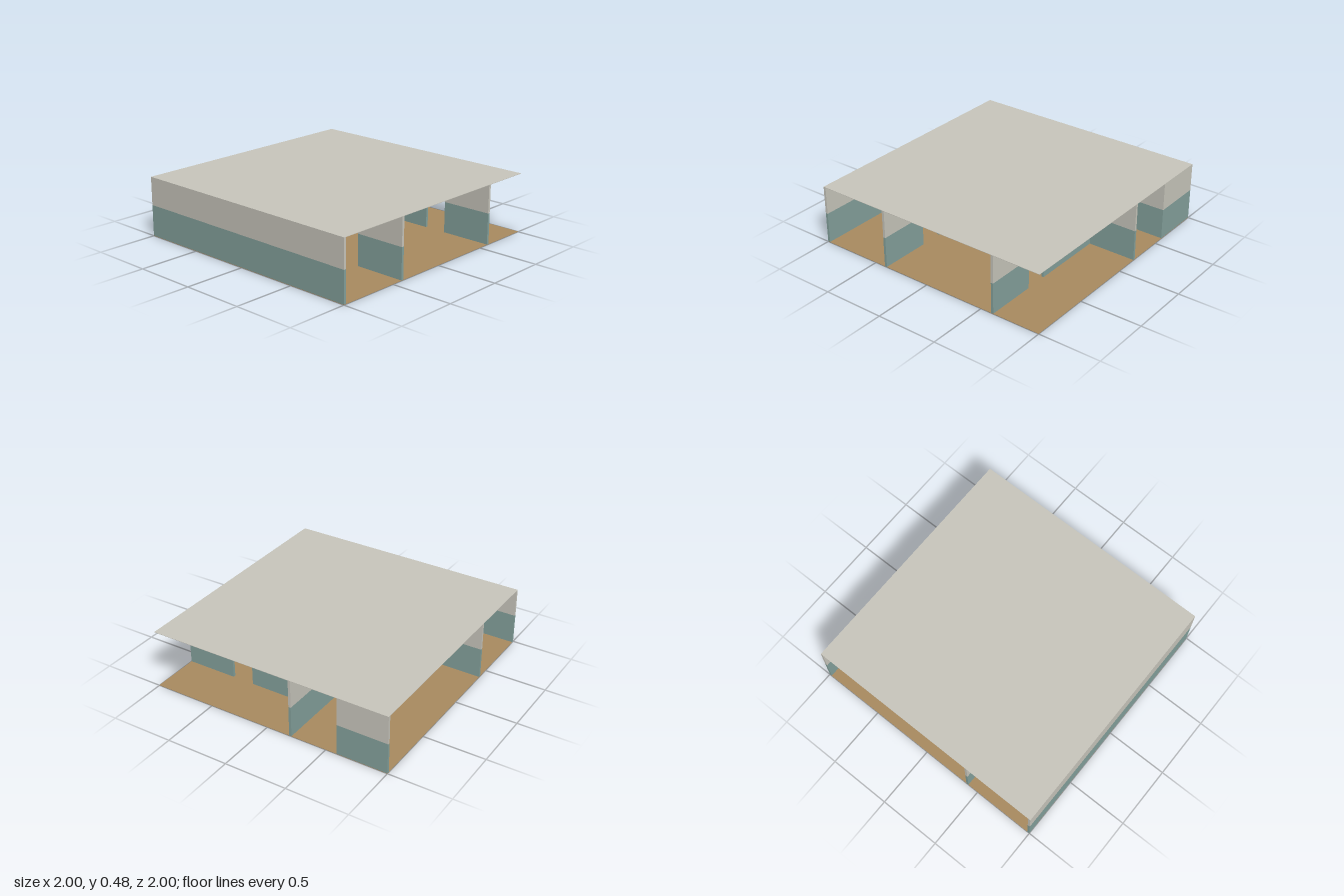
import * as THREE from 'three';

const HEIGHT = 0.476;   // overall height
const SLAB = 0.003;     // floor and roof thickness
const DADO = 0.25;      // top of the painted lower wall band
const HALF = 0.01;      // half the wall thickness

function material(name, color) {
  const m = new THREE.MeshStandardMaterial({ color });
  m.name = name;
  return m;
}

export function createModel() {
  const model = new THREE.Group();
  model.name = 'floorOfRooms';

  const plaster = material('plaster', 0xc8c6bc);
  const teal = material('tealPaint', 0x84a19c);
  const wood = material('woodFloor', 0xa98b60);

  // box given by its two opposite corners
  function box(name, mat, x0, x1, y0, y1, z0, z1, parent = model) {
    const mesh = new THREE.Mesh(new THREE.BoxGeometry(x1 - x0, y1 - y0, z1 - z0), mat);
    mesh.position.set((x0 + x1) / 2, (y0 + y1) / 2, (z0 + z1) / 2);
    mesh.name = name;
    parent.add(mesh);
  }

  // wall with a teal lower band and a plaster upper band
  function wall(name, x0, x1, z0, z1) {
    const g = new THREE.Group();
    g.name = name;
    box('lowerBand', teal, x0, x1, SLAB, DADO, z0, z1, g);
    box('upperBand', plaster, x0, x1, DADO, HEIGHT - SLAB, z0, z1, g);
    model.add(g);
  }
  const wallAlongX = (name, z, x0, x1) => wall(name, x0, x1, z - HALF, z + HALF);
  const wallAlongZ = (name, x, z0, z1) => wall(name, x - HALF, x + HALF, z0, z1);

  // floor and roof slabs
  box('floor', wood, -1, 1, 0, SLAB, -1, 1);
  box('roof', plaster, -1, 1, HEIGHT - SLAB, HEIGHT, -1, 1);

  // outer side walls: one side closed, the other closed only at the back room
  wallAlongZ('outerWallRight', -0.99, -1, 1);
  wallAlongZ('outerWallLeft', 0.99, -1, -0.61);

  // corridor front wall, with two full-height doorways
  for (const [a, b] of [[-0.98, -0.79], [-0.61, 0.21], [0.39, 1]]) {
    wallAlongX('corridorFrontWall', -0.2, a, b);
  }

  // corridor back wall, with doorways at the far end and near the middle
  for (const [a, b] of [[-0.81, 0.41], [0.59, 1]]) {
    wallAlongX('corridorBackWall', -0.6, a, b);
  }

  // partitions between the front rooms, each with a doorway
  for (const x of [-0.4, 0.6]) {
    wallAlongZ('frontPartition', x, 0.59, 1);
    wallAlongZ('frontPartition', x, -0.19, 0.41);
  }

  // partition between the back rooms
  wallAlongZ('backPartition', -0.4, -1, -0.61);

  return model;
}
